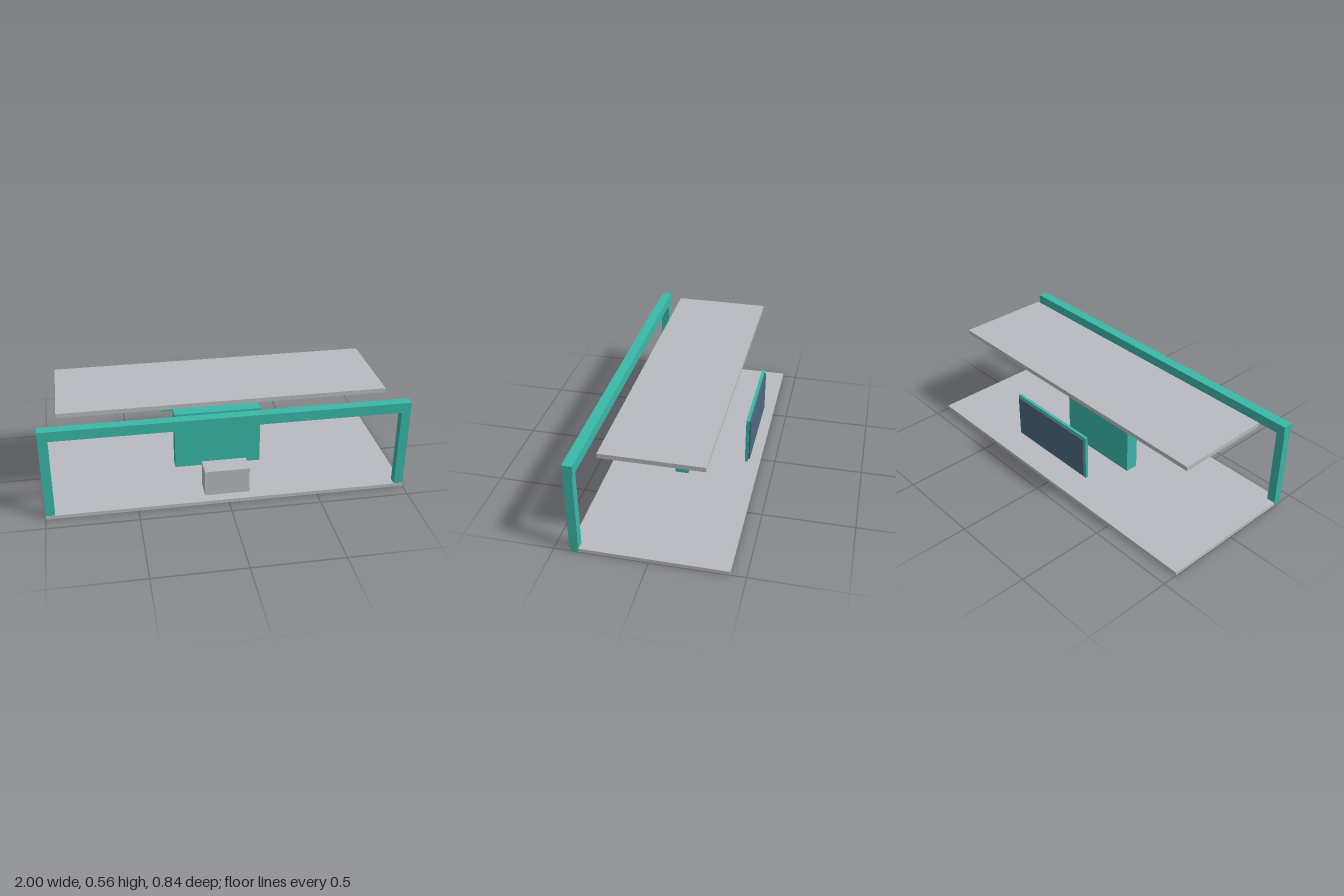
import * as THREE from 'three';

export function createModel() {
  const model = new THREE.Group();
  model.name = 'exhibitionStand';

  const grey = new THREE.MeshStandardMaterial({ name: 'lightGrey', color: 0xb8bbc0 });
  const teal = new THREE.MeshStandardMaterial({ name: 'teal', color: 0x3ab8a8 });
  const slate = new THREE.MeshStandardMaterial({ name: 'slateBlue', color: 0x4c687c });

  // Box given by its [min, max] extent on each axis
  function addBox(name, material, [x0, x1], [y0, y1], [z0, z1]) {
    const mesh = new THREE.Mesh(new THREE.BoxGeometry(x1 - x0, y1 - y0, z1 - z0), material);
    mesh.position.set((x0 + x1) / 2, (y0 + y1) / 2, (z0 + z1) / 2);
    mesh.name = name;
    model.add(mesh);
  }

  // Floor and floating canopy
  addBox('floor', grey, [-0.9995, 0.9995], [0.0005, 0.021], [-0.417, 0.417]);
  addBox('canopy', grey, [-0.9, 0.9], [0.533, 0.558], [-0.271, 0.271]);

  // Front portal: two posts and a slightly deeper beam
  addBox('leftPost', teal, [0.95, 1], [0.001, 0.478], [0.367, 0.415]);
  addBox('rightPost', teal, [-1, -0.95], [0.001, 0.478], [0.367, 0.415]);
  addBox('beam', teal, [-1, 1], [0.478, 0.535], [0.362, 0.418]);

  // Central partition and reception counter
  addBox('partition', teal, [-0.25, 0.25], [0, 0.368], [-0.037, 0.037]);
  addBox('counter', grey, [-0.125, 0.125], [0.021, 0.171], [0.241, 0.358]);

  // Rear display facing backwards
  addBox('displayFrame', teal, [-0.282, 0.282], [0.178, 0.442], [-0.379, -0.363]);
  addBox('displayScreen', slate, [-0.272, 0.272], [0.191, 0.43], [-0.388, -0.379]);

  return model;
}
